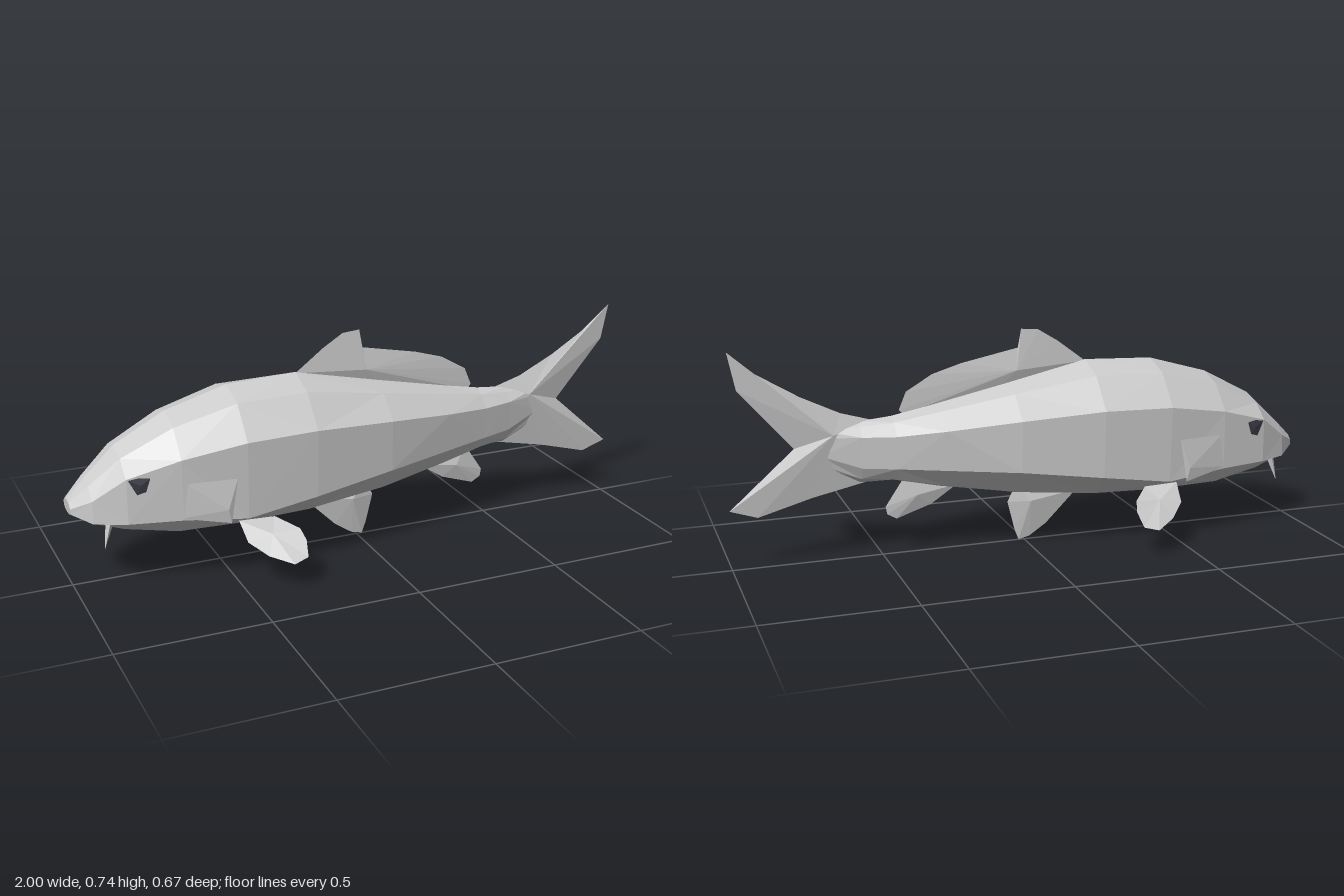
import * as THREE from 'three';

// Unshared triangle corners give faceted normals
function facets(name, tris, material) {
  const geometry = new THREE.BufferGeometry().setFromPoints(tris);
  geometry.computeVertexNormals();
  const mesh = new THREE.Mesh(geometry, material);
  mesh.name = name;
  return mesh;
}

const V = (x, y, z = 0) => new THREE.Vector3(x, y, z);

// Lens-like plate: an outline joined to a raised centre on both sides
function plate(name, outline, centre, offset, material) {
  const pts = outline.map((p) => V(...p));
  const mid = V(...centre);
  const tris = [];
  for (const s of [1, -1]) {
    const off = V(...offset).multiplyScalar(s);
    const apex = mid.clone().add(off);
    pts.forEach((a, i) => {
      const b = pts[(i + 1) % pts.length];
      const n = a.clone().sub(mid).cross(b.clone().sub(mid));
      tris.push(apex, ...(n.dot(off) > 0 ? [a, b] : [b, a]));
    });
  }
  return facets(name, tris, material);
}

// Body stations: x, top y, [shoulder y, z], [side y, z], [flank y, z], [belly y, z], bottom y
const stations = [
  [-1.0, 0.3, [0.297, 0.025], [0.282, 0.045], [0.265, 0.045], [0.258, 0.025], 0.256],
  [-0.94, 0.365, [0.352, 0.05], [0.315, 0.092], [0.24, 0.095], [0.228, 0.055], 0.225],
  [-0.84, 0.46, [0.438, 0.075], [0.39, 0.138], [0.24, 0.14], [0.205, 0.09], 0.188],
  [-0.67, 0.55, [0.522, 0.095], [0.44, 0.174], [0.238, 0.174], [0.175, 0.11], 0.157],
  [-0.46, 0.61, [0.578, 0.11], [0.475, 0.2], [0.215, 0.192], [0.168, 0.11], 0.145],
  [-0.22, 0.62, [0.582, 0.105], [0.48, 0.198], [0.25, 0.19], [0.175, 0.11], 0.148],
  [0.06, 0.56, [0.535, 0.085], [0.46, 0.165], [0.285, 0.16], [0.2, 0.09], 0.178],
  [0.3, 0.508, [0.49, 0.055], [0.435, 0.115], [0.3, 0.105], [0.238, 0.06], 0.22],
  [0.46, 0.475, [0.46, 0.035], [0.42, 0.073], [0.31, 0.068], [0.268, 0.04], 0.257],
  [0.57, 0.465, [0.45, 0.02], [0.42, 0.045], [0.315, 0.04], [0.275, 0.02], 0.258],
  [0.7, 0.45, [0.445, 0.006], [0.42, 0.012], [0.36, 0.012], [0.33, 0.006], 0.32],
];

function bodyMesh(material) {
  const rings = stations.map(([x, top, ...rest]) => {
    const bottom = rest.pop();
    return [
      V(x, top), ...rest.map(([y, z]) => V(x, y, z)),
      V(x, bottom), ...rest.reverse().map(([y, z]) => V(x, y, -z)),
    ];
  });
  const tris = [];
  const n = rings[0].length;
  const last = rings.length - 1;
  for (let j = 0; j < n; j++) {
    const k = (j + 1) % n;
    for (let i = 0; i < last; i++) {
      const [a, b, c, d] = [rings[i][j], rings[i][k], rings[i + 1][k], rings[i + 1][j]];
      // Alternate the diagonals for an irregular faceted skin
      if ((i + j) % 2) tris.push(a, b, c, a, c, d);
      else tris.push(a, b, d, b, c, d);
    }
    tris.push(V(-1.0, 0.278), rings[0][k], rings[0][j]);
    tris.push(V(0.7, 0.39), rings[last][j], rings[last][k]);
  }
  return facets('body', tris, material);
}

export function createModel() {
  const fish = new THREE.Group();
  fish.name = 'fish';
  const skin = new THREE.MeshStandardMaterial({ color: 0xcccccc });
  skin.name = 'pale grey skin';
  const dark = new THREE.MeshStandardMaterial({ color: 0x3a3a44 });
  dark.name = 'dark eye';

  fish.add(bodyMesh(skin));

  // Fins along the centre line
  fish.add(plate('tailFin', [
    [0.52, 0.465], [0.63, 0.497], [0.76, 0.56], [0.9, 0.645], [0.985, 0.72], [0.96, 0.595],
    [0.785, 0.39], [1.0, 0.2], [0.91, 0.17], [0.73, 0.22], [0.55, 0.258],
  ], [0.66, 0.43], [0, 0, 0.026], skin));
  fish.add(plate('dorsalFin', [
    [-0.22, 0.615], [-0.12, 0.69], [-0.05, 0.733], [0.01, 0.738], [0.022, 0.675], [0.22, 0.635],
    [0.32, 0.605], [0.41, 0.552], [0.435, 0.492], [0.42, 0.475], [0.1, 0.53],
  ], [0.03, 0.6], [0, 0, 0.014], skin));
  fish.add(plate('pelvicFin', [
    [-0.19, 0.16], [-0.08, 0.05], [-0.02, 0.01], [0.02, 0], [0.035, 0.04], [0.06, 0.14], [0.03, 0.2],
  ], [-0.02, 0.14], [0, 0, 0.018], skin));
  fish.add(plate('analFin', [
    [0.24, 0.22], [0.33, 0.16], [0.45, 0.12], [0.482, 0.138], [0.487, 0.165], [0.42, 0.265],
  ], [0.38, 0.2], [0, 0, 0.014], skin));

  // Paired parts, right side and left side alike
  for (const [side, s] of [['near', 1], ['far', -1]]) {
    const flip = (pts) => pts.map(([x, y, z]) => [x, y, z * s]);
    fish.add(plate(side + 'PectoralFin', flip([
      [-0.49, 0.208, 0.18], [-0.482, 0.155, 0.24], [-0.43, 0.118, 0.29], [-0.36, 0.096, 0.335],
      [-0.31, 0.108, 0.325], [-0.3, 0.15, 0.285], [-0.31, 0.18, 0.255], [-0.37, 0.205, 0.185],
    ]), [-0.4, 0.165, 0.24 * s], [0, 0.007, 0.005 * s], skin));
    // Gill cover standing slightly proud of the flank
    fish.add(plate(side + 'GillCover', flip([
      [-0.495, 0.36, 0.196], [-0.52, 0.212, 0.198], [-0.68, 0.245, 0.172], [-0.66, 0.36, 0.174],
    ]), [-0.53, 0.26, 0.194 * s], [0, 0, 0.008 * s], skin));
    // Eye
    fish.add(plate(side + 'Eye', flip([
      [-0.835, 0.388, 0.142], [-0.8, 0.394, 0.149], [-0.768, 0.39, 0.157],
      [-0.782, 0.347, 0.155], [-0.81, 0.338, 0.149],
    ]), [-0.798, 0.37, 0.151 * s], [0, 0, 0.004 * s], dark));
    // Whisker at the corner of the mouth
    const whisker = new THREE.Mesh(new THREE.ConeGeometry(0.013, 0.085, 4).toNonIndexed(), skin);
    whisker.geometry.computeVertexNormals();
    whisker.name = side + 'Whisker';
    whisker.position.set(-0.902, 0.197, 0.104 * s);
    whisker.rotation.set(Math.PI - 0.12 * s, 0, 0.25);
    fish.add(whisker);
  }
  return fish;
}
